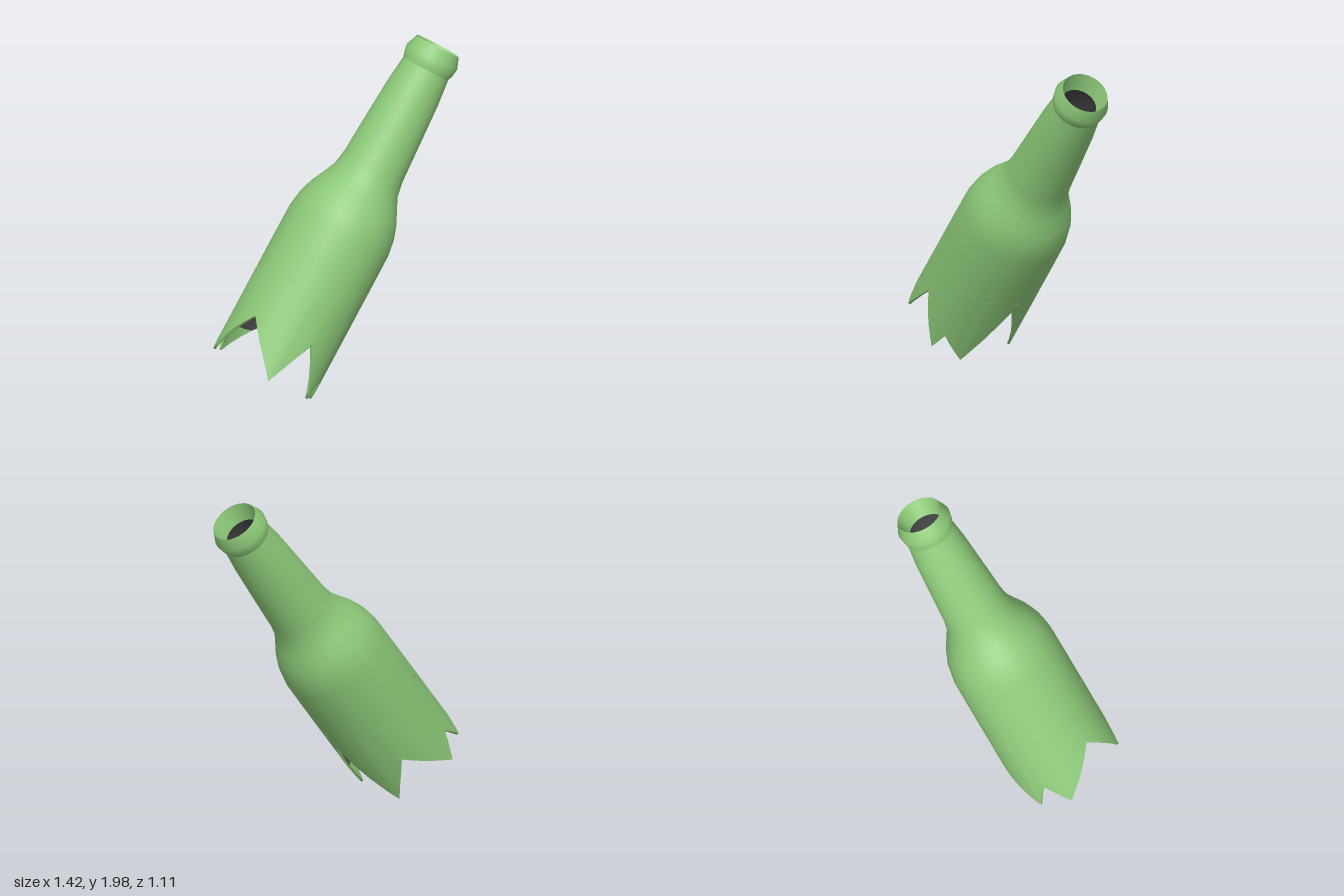
import * as THREE from 'three';

const green = new THREE.MeshStandardMaterial({ color: 0x8cc878 });
const dark = new THREE.MeshStandardMaterial({ color: 0x444444 });
const SIDES = 36, BODY_R = 0.32, INNER_R = 0.305, SKIRT_TOP = -1.6, TIP = -2.135;

// Broken edge: [angle in degrees, height along the bottle], tips and notches in turn
const EDGE = [
  [18, -2.0], [25, TIP], [61, -1.84], [84, TIP], [130, -1.845], [175, TIP],
  [195, -1.98], [211, TIP], [255, -1.87], [284, TIP], [324, -1.67], [352, TIP],
];

// Height of the broken edge at any angle
function edgeAt(angle) {
  const a = angle < EDGE[0][0] ? angle + 360 : angle;
  for (let i = 0; i < EDGE.length; i++) {
    const [a0, h0] = EDGE[i];
    const [a1, h1] = i + 1 < EDGE.length ? EDGE[i + 1] : [EDGE[0][0] + 360, EDGE[0][1]];
    if (a >= a0 && a <= a1) return h0 + (h1 - h0) * (a - a0) / (a1 - a0);
  }
  return TIP;
}

const angles = [...new Set([
  ...Array.from({ length: SIDES }, (_, i) => i * 360 / SIDES),
  ...EDGE.map(([a]) => a),
])].sort((a, b) => a - b);

// Closed band round the axis between two height rules, facing outward or inward
function band(name, material, rTop, top, rBottom, bottom, inward = false) {
  const pos = [], index = [], n = angles.length;
  angles.forEach((deg, i) => {
    const t = THREE.MathUtils.degToRad(deg), c = Math.cos(t), s = Math.sin(t);
    pos.push(rTop * c, top(deg), rTop * s, rBottom * c, bottom(deg), rBottom * s);
    const t0 = 2 * i, b0 = t0 + 1, t1 = 2 * ((i + 1) % n), b1 = t1 + 1;
    if (inward) index.push(b0, t1, t0, b0, b1, t1);
    else index.push(b0, t0, t1, b0, t1, b1);
  });
  const g = new THREE.BufferGeometry();
  g.setAttribute('position', new THREE.Float32BufferAttribute(pos, 3));
  g.setIndex(index);
  g.computeVertexNormals();
  const mesh = new THREE.Mesh(g, material);
  mesh.name = name;
  return mesh;
}

// Turned part from [radius, height] points; rising points face out, falling face in
function turned(name, material, points) {
  const g = new THREE.LatheGeometry(points.map(([r, h]) => new THREE.Vector2(r, h)), SIDES);
  const mesh = new THREE.Mesh(g, material);
  mesh.name = name;
  return mesh;
}

export function createModel() {
  const bottle = new THREE.Group();
  bottle.name = 'brokenBottle';

  // Body, shoulder and neck
  bottle.add(turned('bodyAndNeck', green, [
    [BODY_R, SKIRT_TOP], [BODY_R, -1.4], [0.319, -1.2], [0.304, -1.1], [0.277, -1.02],
    [0.237, -0.94], [0.205, -0.87], [0.19, -0.78], [0.177, -0.55], [0.162, -0.3], [0.145, -0.14],
  ]));
  // Lip and mouth funnel
  bottle.add(turned('lip', green, [[0.143, -0.15], [0.155, -0.12], [0.163, -0.07], [0.136, 0]]));
  bottle.add(turned('mouth', green, [[0.136, 0], [0.105, -0.11]]));
  // Dark inner wall
  bottle.add(turned('innerWall', dark, [
    [0.105, -0.11], [0.135, -0.2], [0.15, -0.3], [0.175, -0.78], [0.19, -0.87],
    [0.222, -0.94], [0.262, -1.02], [0.289, -1.1], [INNER_R, -1.2], [INNER_R, SKIRT_TOP],
  ]));

  // Jagged skirt: outer wall, dark inner wall, green inner rim and broken thickness
  const skirtTop = () => SKIRT_TOP;
  const rimTop = (a) => Math.max(edgeAt(a), -1.97);
  bottle.add(band('jaggedSkirt', green, BODY_R, skirtTop, BODY_R, edgeAt));
  bottle.add(band('innerSkirt', dark, INNER_R, skirtTop, INNER_R, rimTop, true));
  bottle.add(band('innerRim', green, INNER_R, rimTop, INNER_R, edgeAt, true));
  bottle.add(band('brokenEdge', green, BODY_R, edgeAt, INNER_R, edgeAt));

  // Tilt the bottle and hang it from the centre of its mouth
  const axis = new THREE.Vector3(0.585, 1, -0.385).normalize();
  const front = new THREE.Vector3(1, 0, 0).cross(axis).normalize();
  const side = new THREE.Vector3().crossVectors(axis, front);
  bottle.quaternion.setFromRotationMatrix(new THREE.Matrix4().makeBasis(side, axis, front));
  bottle.position.set(0.595, 1.92, -0.425);

  const model = new THREE.Group();
  model.name = 'model';
  model.add(bottle);
  return model;
}
